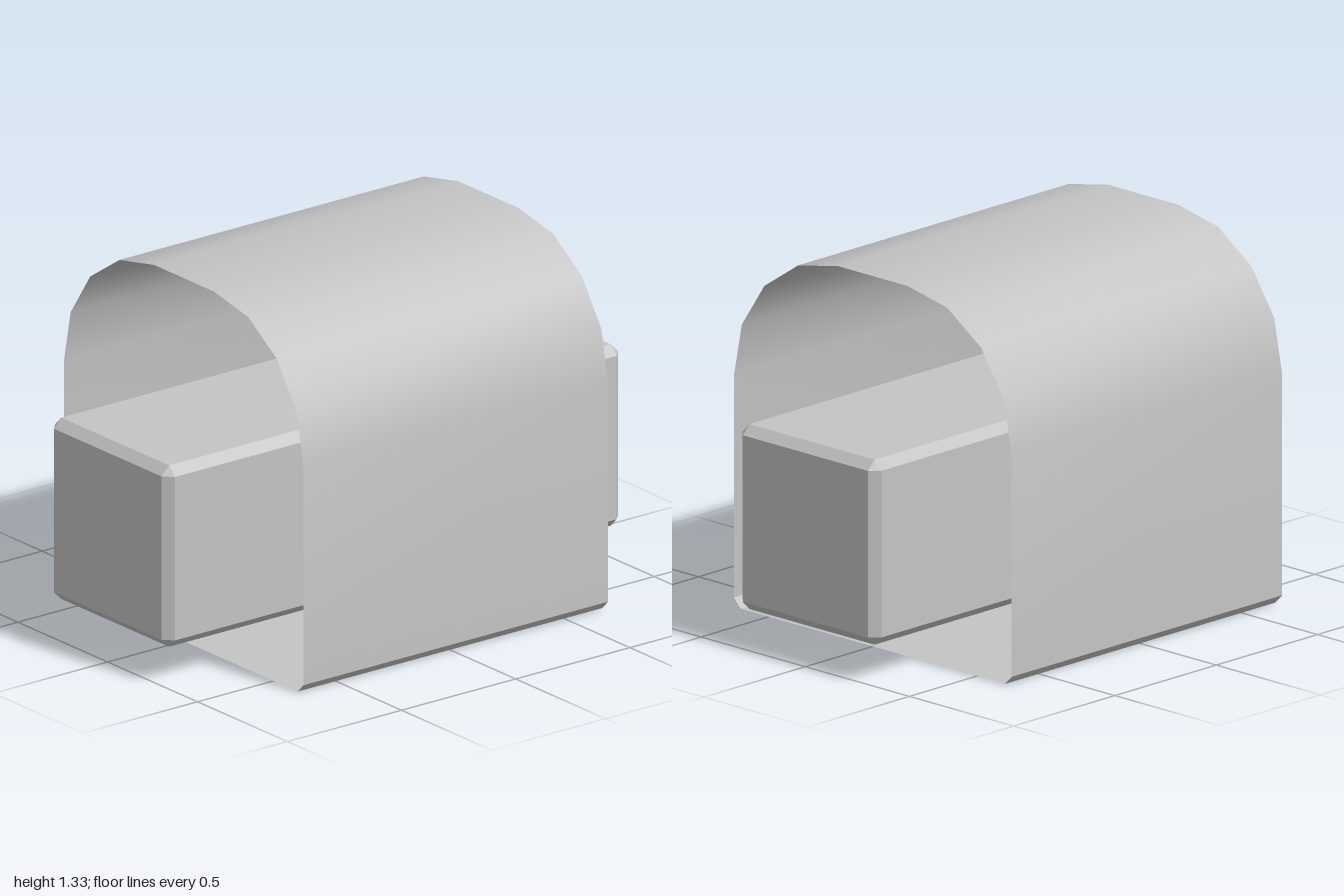
import * as THREE from 'three';
import { toCreasedNormals } from 'three/addons/utils/BufferGeometryUtils.js';
import { ConvexGeometry } from 'three/addons/geometries/ConvexGeometry.js';

// Box with every edge chamfered: each corner becomes three points
function chamferedBox(hx, hy, hz, c) {
  const points = [];
  for (const sx of [-1, 1]) for (const sy of [-1, 1]) for (const sz of [-1, 1]) {
    points.push(
      new THREE.Vector3(sx * hx, sy * (hy - c), sz * (hz - c)),
      new THREE.Vector3(sx * (hx - c), sy * hy, sz * (hz - c)),
      new THREE.Vector3(sx * (hx - c), sy * (hy - c), sz * hz));
  }
  return new ConvexGeometry(points);
}

// Open sheet swept along z from a closed counter-clockwise profile
function sweptSheet(profile, halfLength) {
  const positions = [];
  profile.forEach(([x0, y0], i) => {
    const [x1, y1] = profile[(i + 1) % profile.length];
    const a = [x0, y0, halfLength], b = [x0, y0, -halfLength];
    const c = [x1, y1, -halfLength], d = [x1, y1, halfLength];
    positions.push(...a, ...b, ...c, ...a, ...c, ...d);
  });
  const geometry = new THREE.BufferGeometry();
  geometry.setAttribute('position', new THREE.Float32BufferAttribute(positions, 3));
  return toCreasedNormals(geometry, 0.6);
}

export function createModel() {
  const group = new THREE.Group();
  const grey = new THREE.MeshStandardMaterial({ color: 0xc4c4c4, side: THREE.DoubleSide });
  grey.name = 'grey';
  const add = (name, geometry, x, y, z) => {
    const mesh = new THREE.Mesh(geometry, grey);
    mesh.name = name;
    mesh.position.set(x, y, z);
    group.add(mesh);
    return mesh;
  };

  // Thin shell: chamfered floor, straight walls, rounded shoulders, flat crown
  const half = 0.667, radius = 0.5, chamfer = 0.033, height = 1.333;
  const rightSide = [[half - chamfer, 0], [half, chamfer]];
  for (let i = 0; i <= 4; i++) {
    const t = (i / 4) * Math.PI / 2;
    rightSide.push([half - radius + radius * Math.cos(t), height - radius + radius * Math.sin(t)]);
  }
  const leftSide = rightSide.map(([x, y]) => [-x, y]).reverse();
  add('shell', sweptSheet([...rightSide, ...leftSide], half), 0, 0, 0);

  // Long block running through the shell
  add('core', chamferedBox(0.333, 0.333, 1, chamfer), 0, 0.469, 0);

  // Small upright disc beside the block, at the front opening
  const disc = add('disc', new THREE.CylinderGeometry(0.125, 0.125, 0.033, 32), -0.369, 0.136, 0.665);
  disc.rotation.z = Math.PI / 2;

  return group;
}
